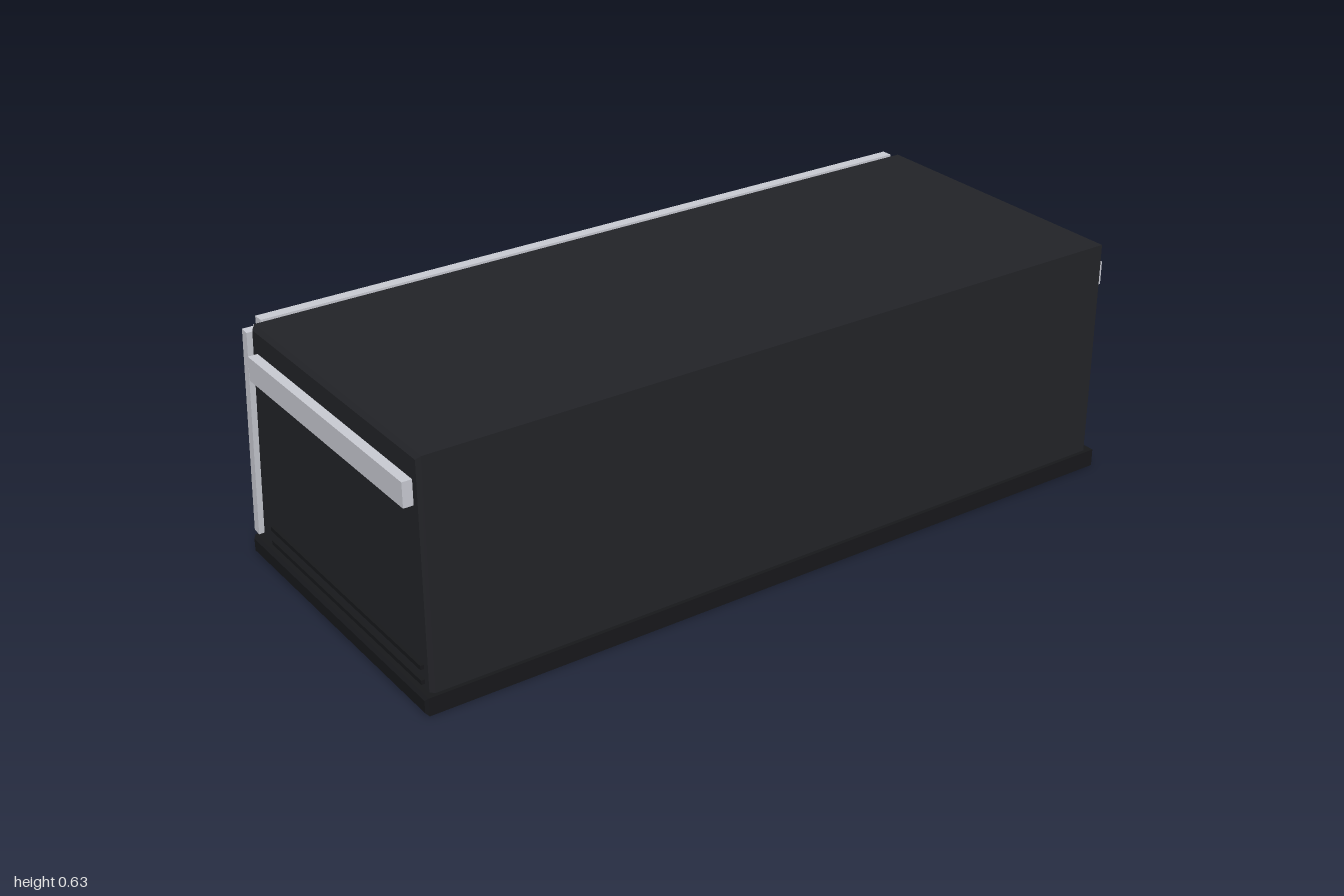
import * as THREE from 'three';

const dark = new THREE.MeshStandardMaterial({ color: 0x222327 });
const black = new THREE.MeshStandardMaterial({ color: 0x17181b });
const silver = new THREE.MeshStandardMaterial({ color: 0xc8cad2 });
const glass = new THREE.MeshStandardMaterial({ color: 0xaaaaaa });

function add(parent, name, geometry, material, x = 0, y = 0, z = 0) {
  const mesh = new THREE.Mesh(geometry, material);
  mesh.name = name;
  mesh.position.set(x, y, z);
  parent.add(mesh);
  return mesh;
}

// Box given by its two extremes on each axis
function box(parent, name, material, [x0, x1], [y0, y1], [z0, z1]) {
  return add(parent, name, new THREE.BoxGeometry(x1 - x0, y1 - y0, z1 - z0), material,
    (x0 + x1) / 2, (y0 + y1) / 2, (z0 + z1) / 2);
}

// Chamfered solid: a (z, y) side profile extruded across x
function sideSolid(points, halfWidth, bevel) {
  const shape = new THREE.Shape(points.map(([z, y]) => new THREE.Vector2(z, y)));
  const depth = 2 * (halfWidth - bevel);
  return new THREE.ExtrudeGeometry(shape, {
    depth, bevelEnabled: true, bevelSegments: 1, bevelSize: bevel, bevelThickness: bevel, bevelOffset: -bevel,
  }).translate(0, 0, -depth / 2).rotateY(-Math.PI / 2);
}

export function createModel() {
  const model = new THREE.Group();
  model.name = 'counter';

  // Cabinet with a sloping back, standing on a plinth
  add(model, 'cabinet', sideSolid([[0.428, 0.03], [0.428, 0.626], [-0.359, 0.626], [-0.406, 0.03]], 0.975, 0.01), dark);
  add(model, 'plinth', sideSolid([[0.438, 0], [0.438, 0.046], [-0.42, 0.046], [-0.42, 0]], 0.995, 0.007), black);

  // Side trims and ribs
  for (const s of [-1, 1]) {
    const side = new THREE.Group();
    side.name = s > 0 ? 'leftSideTrim' : 'rightSideTrim';
    add(side, 'sideBand', new THREE.BoxGeometry(0.03, 0.062, 0.732), silver, s * 0.985, 0.532, 0.034);
    for (const y of [0.064, 0.102])
      add(side, 'sideRib', new THREE.BoxGeometry(0.018, 0.011, 0.732), black, s * 0.975, y, 0.034);
    model.add(side);
  }

  // Back fittings: local y runs up the slope, local -z points outward
  const back = new THREE.Group();
  back.name = 'backFittings';
  back.position.set(0, 0.045, -0.405);
  back.rotation.x = Math.atan2(0.047, 0.596);
  model.add(back);

  // Corner posts with a raised rib
  for (const s of [-1, 1]) {
    add(back, 'cornerPost', new THREE.BoxGeometry(0.045, 0.557, 0.024), silver, s * 0.964, 0.288, -0.009);
    add(back, 'postRib', new THREE.BoxGeometry(0.012, 0.557, 0.008), silver, s * 0.95, 0.288, -0.023);
  }

  // Slatted grille between two rails
  box(model, 'grilleTopRail', silver, [-0.945, 0.945], [0.606, 0.628], [-0.396, -0.367]);
  box(back, 'grilleBottomRail', silver, [-0.942, 0.942], [0.414, 0.428], [-0.031, 0.003]);
  box(back, 'grilleBacking', black, [-0.942, 0.942], [0.42, 0.565], [-0.004, 0.003]);
  const slats = 34;
  for (let i = 0; i < slats; i++) {
    const x = -0.915 + (1.83 * i) / (slats - 1);
    add(back, 'grilleSlat', new THREE.BoxGeometry(0.027, 0.142, 0.022), silver, x, 0.493, -0.011);
  }

  // Framed window panel
  const frame = new THREE.Shape();
  frame.moveTo(-0.42, 0.012).lineTo(0.42, 0.012).lineTo(0.42, 0.377).lineTo(-0.42, 0.377).closePath();
  frame.holes.push(new THREE.Path().moveTo(-0.385, 0.032).lineTo(-0.385, 0.352).lineTo(0.385, 0.352).lineTo(0.385, 0.032).closePath());
  add(back, 'windowFrame', new THREE.ExtrudeGeometry(frame, { depth: 0.031, bevelEnabled: false }), black, 0, 0, -0.029);
  box(back, 'windowPane', glass, [-0.388, 0.388], [0.03, 0.354], [-0.018, 0.001]);

  // Bolts at the frame corners and screws along the foot of the back
  const bolt = new THREE.CylinderGeometry(0.008, 0.008, 0.008, 12).rotateX(Math.PI / 2);
  for (const x of [-0.403, 0.403])
    for (const y of [0.024, 0.364]) add(back, 'frameBolt', bolt, silver, x, y, -0.03);
  const screw = new THREE.SphereGeometry(0.006, 10, 6);
  for (let i = 0; i < 12; i++)
    add(back, 'footScrew', screw, silver, -0.88 + i * 0.16, 0.009, -0.003);

  return model;
}
